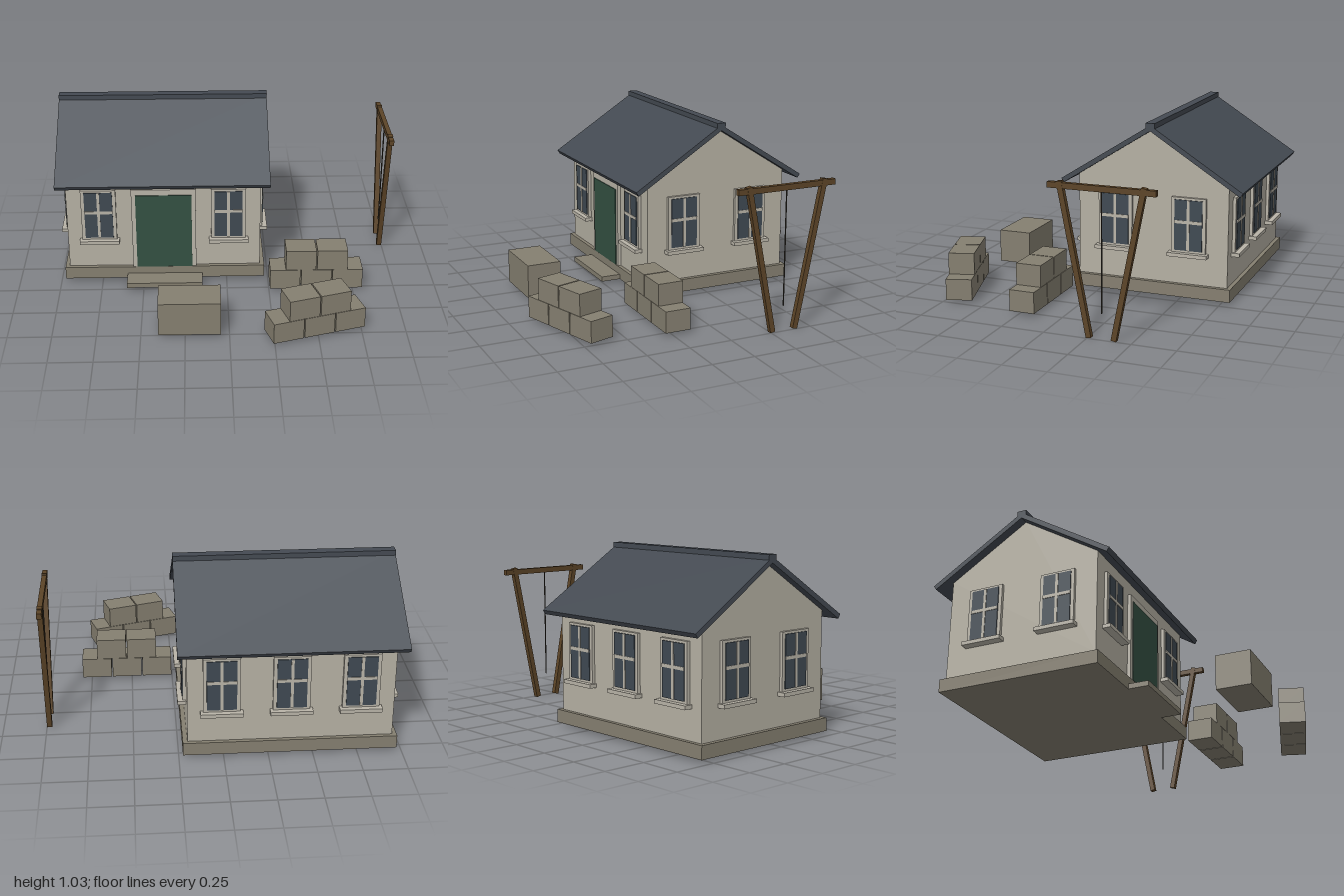
import * as THREE from 'three';

const mat = (name, color) => {
  const m = new THREE.MeshStandardMaterial({ color });
  m.name = name;
  return m;
};

export function createModel() {
  const plaster = mat('plaster', 0xb5b0a3);
  const trim = mat('trim', 0xb9b4a8);
  const stone = mat('stone', 0x857f70);
  const slate = mat('slate', 0x444a52);
  const glass = mat('glass', 0x3f4952);
  const green = mat('doorGreen', 0x345042);
  const wood = mat('wood', 0x5c4427);
  const rope = mat('rope', 0x39342c);

  const model = new THREE.Group();
  const add = (parent, name, geometry, material, x = 0, y = 0, z = 0) => {
    const mesh = new THREE.Mesh(geometry, material);
    mesh.name = name;
    mesh.position.set(x, y, z);
    parent.add(mesh);
    return mesh;
  };
  // Box given by centre in x and z, and by bottom and top in y
  const box = (parent, name, material, x, z, y0, y1, w, d) =>
    add(parent, name, new THREE.BoxGeometry(w, y1 - y0, d), material, x, (y0 + y1) / 2, z);
  const group = (parent, name, x = 0, z = 0, turn = 0) => {
    const g = new THREE.Group();
    g.name = name;
    g.position.set(x, 0, z);
    g.rotation.y = turn;
    parent.add(g);
    return g;
  };
  // Gable cross-section stretched along x
  const gable = (points, length) => {
    const shape = new THREE.Shape(points.map(([x, y]) => new THREE.Vector2(x, y)));
    const g = new THREE.ExtrudeGeometry(shape, { depth: length, bevelEnabled: false });
    return g.translate(0, 0, -length / 2).rotateY(Math.PI / 2);
  };

  // House shell
  const house = group(model, 'house', -0.373, -0.33);
  const hx = 0.574, hz = 0.454;
  box(house, 'plinth', stone, 0, 0, 0.022, 0.097, 1.2, 0.956);
  add(house, 'walls', gable([[-hz, 0.095], [hz, 0.095], [hz, 0.7], [0, 0.988], [-hz, 0.7]], 2 * hx), plaster);
  add(house, 'roof', gable([
    [-0.547, 0.672], [-0.532, 0.648], [0, 0.986], [0.532, 0.648], [0.547, 0.672], [0, 1.019],
  ], 1.254), slate);
  box(house, 'ridgeCap', slate, 0, 0, 0.99, 1.031, 1.254, 0.055);

  // Door and step
  box(house, 'doorFrame', trim, 0, hz + 0.008, 0.097, 0.614, 0.38, 0.024);
  box(house, 'door', green, 0, hz + 0.021, 0.098, 0.578, 0.331, 0.008);
  box(house, 'doorStep', stone, 0, 0.535, 0.022, 0.052, 0.452, 0.125);

  // Sash windows, facing outward along their own z
  const addWindow = (x, z, turn) => {
    const w = group(house, 'window', x, z, turn);
    box(w, 'windowFrame', trim, 0, 0.007, 0.286, 0.611, 0.206, 0.022);
    box(w, 'windowGlass', glass, 0, 0.02, 0.301, 0.598, 0.166, 0.006);
    box(w, 'verticalBar', trim, 0, 0.023, 0.301, 0.598, 0.016, 0.007);
    box(w, 'crossBar', trim, 0, 0.023, 0.46, 0.478, 0.166, 0.007);
    box(w, 'windowSill', trim, 0, 0.022, 0.266, 0.288, 0.236, 0.052);
  };
  for (const x of [-0.384, 0.384]) addWindow(x, hz, 0);
  for (const x of [-0.384, 0, 0.384]) addWindow(x, -hz, Math.PI);
  for (const side of [-1, 1])
    for (const z of [-0.223, 0.223]) addWindow(side * hx, z, side * Math.PI / 2);

  // Low walls of staggered blocks
  const addBlockWall = (x, z, turn) => {
    const wall = group(model, 'blockWall', x, z, turn);
    for (const i of [-1, 0, 1]) box(wall, 'lowerBlock', stone, i * 0.1855, 0, 0.022, 0.146, 0.179, 0.15);
    for (const i of [-0.5, 0.5]) box(wall, 'upperBlock', stone, i * 0.1855, 0, 0.148, 0.274, 0.179, 0.15);
  };
  addBlockWall(0.53, 0.222, 0);
  addBlockWall(0.483, 0.727, 0.297);

  // Single loose block
  box(model, 'looseBlock', stone, -0.224, 0.676, 0.022, 0.223, 0.353, 0.203);

  // Timber frame with hanging rope
  const frame = group(model, 'timberFrame', 0.985, -0.33);
  box(frame, 'crossBeam', wood, 0, 0, 0.8, 0.832, 0.028, 0.6);
  for (const side of [-1, 1]) {
    const leg = add(frame, 'leg', new THREE.BoxGeometry(0.03, 0.85, 0.03), wood, 0, 0.422, side * 0.152);
    leg.rotation.x = side * 0.194;
  }
  add(frame, 'rope', new THREE.CylinderGeometry(0.004, 0.004, 0.66, 6), rope, 0, 0.475, 0);

  return model;
}
